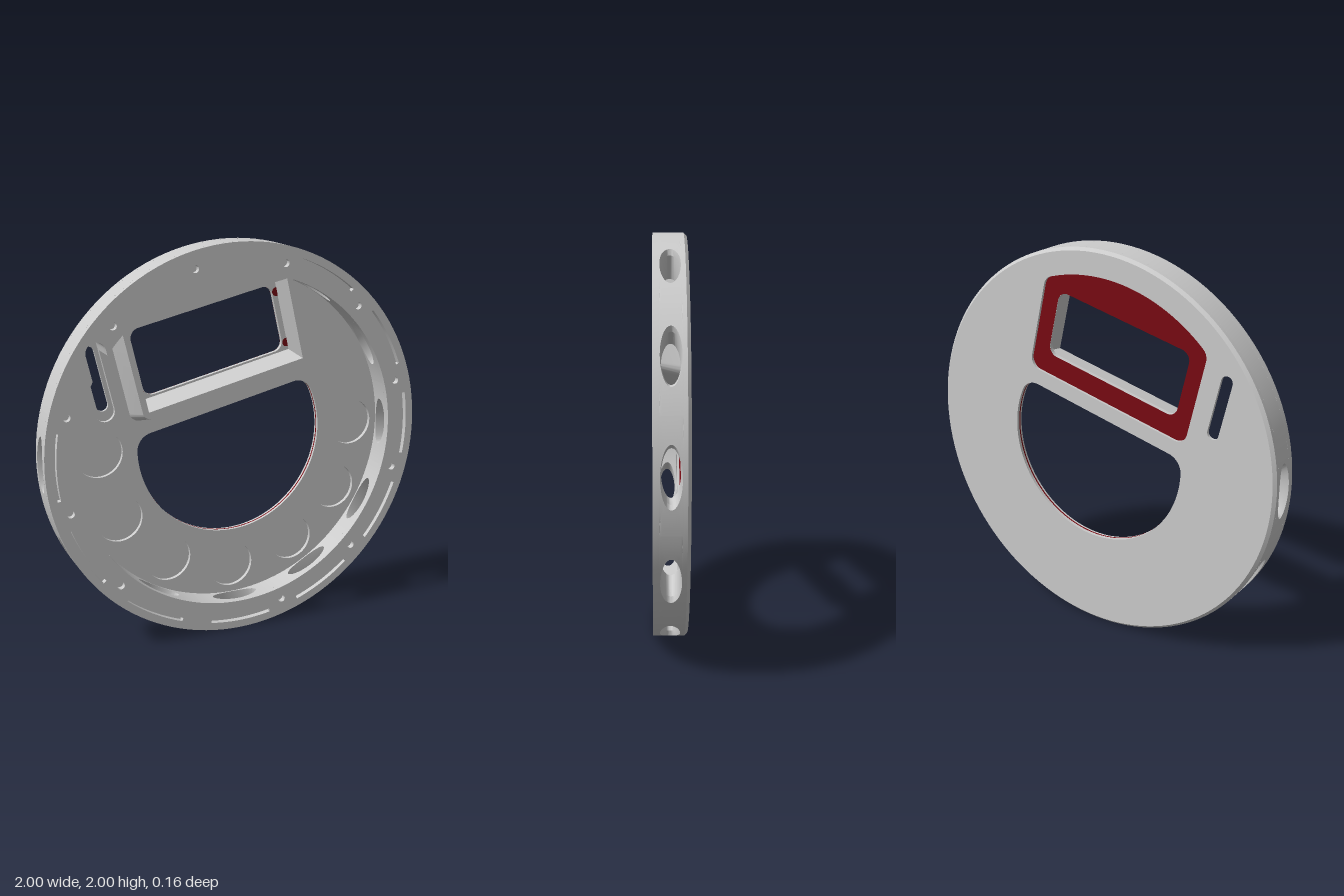
import * as THREE from 'three';
import { toCreasedNormals } from 'three/addons/utils/BufferGeometryUtils.js';

const PI = Math.PI, DEG = PI / 180, TILT = 13 * DEG;
const BACK = -0.085, LEDGE = -0.07, FLOOR = -0.05, CAP = 0.05, FRONT = 0.08;

const grey = new THREE.MeshStandardMaterial({ color: 0xcccccc });
const greyThin = new THREE.MeshStandardMaterial({ color: 0xcccccc, side: THREE.DoubleSide });
const red = new THREE.MeshStandardMaterial({ color: 0x780a12, side: THREE.DoubleSide });

// Outline helpers: lists of 2D points
function arc(cx, cy, r, a0, a1, n = 12) {
  return Array.from({ length: n + 1 }, (_, i) => {
    const a = a0 + (a1 - a0) * i / n;
    return new THREE.Vector2(cx + r * Math.cos(a), cy + r * Math.sin(a));
  });
}
const circle = (cx, cy, r, n = 48) => arc(cx, cy, r, 0, 2 * PI * (1 - 1 / n), n - 1);
const tilt = pts => pts.map(p => p.clone().rotateAround(new THREE.Vector2(), TILT));
const roundRect = (u0, u1, v0, v1, r) => [
  ...arc(u0 + r, v0 + r, r, PI, 1.5 * PI), ...arc(u1 - r, v0 + r, r, 1.5 * PI, 2 * PI),
  ...arc(u1 - r, v1 - r, r, 0, PI / 2), ...arc(u0 + r, v1 - r, r, PI / 2, PI)];
const capsule = (u, v0, v1, r) => [...arc(u, v0, r, PI, 2 * PI), ...arc(u, v1, r, 0, PI)];

function shapeOf(outline, holes = []) {
  const s = new THREE.Shape(outline);
  s.holes = holes.map(h => new THREE.Path(h));
  return s;
}
function slab(outline, holes, z0, z1) {
  const g = new THREE.ExtrudeGeometry(shapeOf(outline, holes), { depth: z1 - z0, bevelEnabled: false });
  return toCreasedNormals(g.translate(0, 0, z0), 0.5);
}

// Surface through equally long rows of 3D points
function skin(rows, closed) {
  const pos = [], n = rows[0].length;
  for (let j = 0; j + 1 < rows.length; j++) {
    for (let i = 0; i < (closed ? n : n - 1); i++) {
      const k = (i + 1) % n, a = rows[j][i], b = rows[j][k], c = rows[j + 1][k], d = rows[j + 1][i];
      for (const p of [a, b, c, a, c, d]) pos.push(p.x, p.y, p.z);
    }
  }
  const g = new THREE.BufferGeometry();
  g.setAttribute('position', new THREE.Float32BufferAttribute(pos, 3));
  g.computeVertexNormals();
  return toCreasedNormals(g, 0.5);
}
const at = (pts, z) => pts.map(p => new THREE.Vector3(p.x, p.y, z));

// 30 degree piece of the rim wall, pierced by a flared oval hole
function piercedWall() {
  const N = 64, ring = (r, f) => Array.from({ length: N }, (_, i) => {
    const [phi, z] = f(2 * PI * i / N, r);
    return new THREE.Vector3(r * Math.cos(phi), r * Math.sin(phi), z);
  });
  const border = t => {
    const c = Math.cos(t), s = Math.sin(t), m = Math.max(Math.abs(c), Math.abs(s));
    return [15 * DEG * c / m, CAP * s / m];
  };
  const oval = (w, h) => (t, r) => [Math.asin(w * Math.cos(t) / r), h * Math.sin(t)];
  const mix = (f, g, k) => (t, r) => {
    const a = f(t, r), b = g(t, r);
    return [a[0] + (b[0] - a[0]) * k, a[1] + (b[1] - a[1]) * k];
  };
  const inner = oval(0.122, 0.044), outer = oval(0.14, 0.048), rows = [];
  for (let k = 0; k <= 5; k++) rows.push(ring(0.85, mix(border, inner, k / 5)));
  rows.push(ring(0.975, inner));
  for (let k = 0; k <= 5; k++) rows.push(ring(1, mix(outer, border, k / 5)));
  return skin(rows, true);
}

export function createModel() {
  const model = new THREE.Group();
  model.name = 'roundHousing';
  const body = new THREE.Group();
  body.name = 'body';
  body.position.y = 1;
  model.add(body);
  const add = (name, geometry, material = grey) => {
    const m = new THREE.Mesh(geometry, material);
    m.name = name;
    body.add(m);
    return m;
  };

  // Outlines of the openings
  const dHole = tilt([...arc(0, 0, 0.5, PI - 0.196, 2 * PI + 0.196, 80),
    ...arc(0.402, 0.08, 0.09, 0.25, PI / 2), ...arc(-0.402, 0.08, 0.09, PI / 2, PI - 0.25)]);
  const windowHole = tilt(roundRect(-0.383, 0.383, 0.355, 0.695, 0.05));
  const recess = tilt([...arc(-0.41, 0.31, 0.06, PI, 1.5 * PI), ...arc(0.41, 0.31, 0.06, 1.5 * PI, 2 * PI),
    ...arc(0.41, 0.6986, 0.06, 0, 1.04), ...arc(0, 0, 0.87, 1.06, PI - 1.06, 32),
    ...arc(-0.41, 0.6986, 0.06, PI - 1.04, PI)]);
  const holeAngles = Array.from({ length: 9 }, (_, i) => (60 - 30 * i) * DEG);
  const polar = (r, a) => [r * Math.cos(a), r * Math.sin(a)];

  // Back plate and floor with round pockets
  add('backPlate', slab(circle(0, 0, 0.985, 128),
    [dHole, recess, tilt(capsule(-0.595, 0.38, 0.65, 0.03))], BACK, LEDGE));
  const pockets = holeAngles.slice(2).map(a => circle(...polar(0.695, a), 0.12));
  add('floor', slab(circle(0, 0, 0.99, 128),
    [dHole, windowHole, tilt(capsule(-0.595, 0.35, 0.68, 0.05)), ...pockets], LEDGE, FLOOR));
  const edge = new THREE.LatheGeometry([[0.985, BACK], [1, LEDGE], [1, FLOOR]]
    .map(p => new THREE.Vector2(...p)), 128);
  add('chamferedBackEdge', toCreasedNormals(edge.rotateX(PI / 2), 0.5), greyThin);

  // Red back recess and liner of the large opening
  add('windowBackPanel', new THREE.ShapeGeometry(shapeOf(recess, [windowHole])).translate(0, 0, LEDGE - 0.001), red);
  const liner = dHole.map(p => p.clone().multiplyScalar(0.997));
  add('openingLiner', skin([at(liner, LEDGE), at(liner, -0.062)], true), red);

  // Rim wall: nine pierced pieces and one solid piece with a notch for the side slot
  const wall = piercedWall();
  holeAngles.forEach((a, i) => { add('rimWall' + (i + 1), wall, greyThin).rotation.z = a; });
  const notch = arc(-0.595, 0.68, 0.05, PI, 0);
  const lo = 75 * DEG - TILT, hi = 165 * DEG - TILT;
  add('solidRimWall', slab(tilt([...arc(0, 0, 1, lo, hi, 32), ...arc(0, 0, 0.85, hi, 2.432, 6),
    ...notch, ...arc(0, 0, 0.85, 2.267, lo, 26)]), [], FLOOR, CAP));

  // Front ring with curved slots and screw holes
  const innerEdge = tilt([...arc(0, 0, 0.85, 2.267 + 2 * PI, 2.432, 120), ...notch]);
  const slots = holeAngles.map(a => [...arc(0, 0, 0.96, a - 0.175, a + 0.175, 16),
    ...arc(0, 0, 0.942, a + 0.175, a - 0.175, 16)]);
  const screws = [];
  for (let d = -75; d <= 225; d += 30) screws.push(circle(...polar(0.915, d * DEG), 0.019, 20));
  add('frontRing', slab(circle(0, 0, 1, 128), [innerEdge, ...slots, ...screws], CAP, FRONT));
  add('slotFloor', new THREE.ShapeGeometry(shapeOf(circle(0, 0, 0.995, 128), [innerEdge]))
    .translate(0, 0, CAP + 0.001));

  // Window frame: drafted walls under a flat front
  const side = (w, v, top, r) => [new THREE.Vector2(-w, top), ...arc(-w + r, v + r, r, PI, 1.5 * PI),
    ...arc(w - r, v + r, r, 1.5 * PI, 2 * PI), new THREE.Vector2(w, top)];
  const rect = (w, v0, v1) => tilt([[-w, v0], [w, v0], [w, v1], [-w, v1]].map(p => new THREE.Vector2(...p)));
  const mouth = rect(0.42, 0.32, 0.735);
  add('frameOuterWall', skin([at(tilt(side(0.48, 0.25, 0.74, 0.05)), FLOOR),
    at(tilt(side(0.45, 0.285, 0.74, 0.04)), FRONT)], false), greyThin);
  add('frameInnerWall', skin([at(rect(0.41, 0.345, 0.71), FLOOR), at(mouth, FRONT)], true), greyThin);
  const face = tilt([...side(0.45, 0.285, 0.721, 0.04), ...arc(0, 0, 0.85, 1.013, PI - 1.013, 40)]);
  add('frameFront', new THREE.ShapeGeometry(shapeOf(face, [mouth])).translate(0, 0, FRONT));

  // Small red fixing points beside the window
  for (const u of [-0.405, 0.405]) for (const v of [0.385, 0.652]) {
    const [p] = tilt([new THREE.Vector2(u, v)]);
    add('fixingPoint', new THREE.CircleGeometry(0.022, 20), red).position.set(p.x, p.y, FLOOR + 0.002);
  }
  return model;
}
